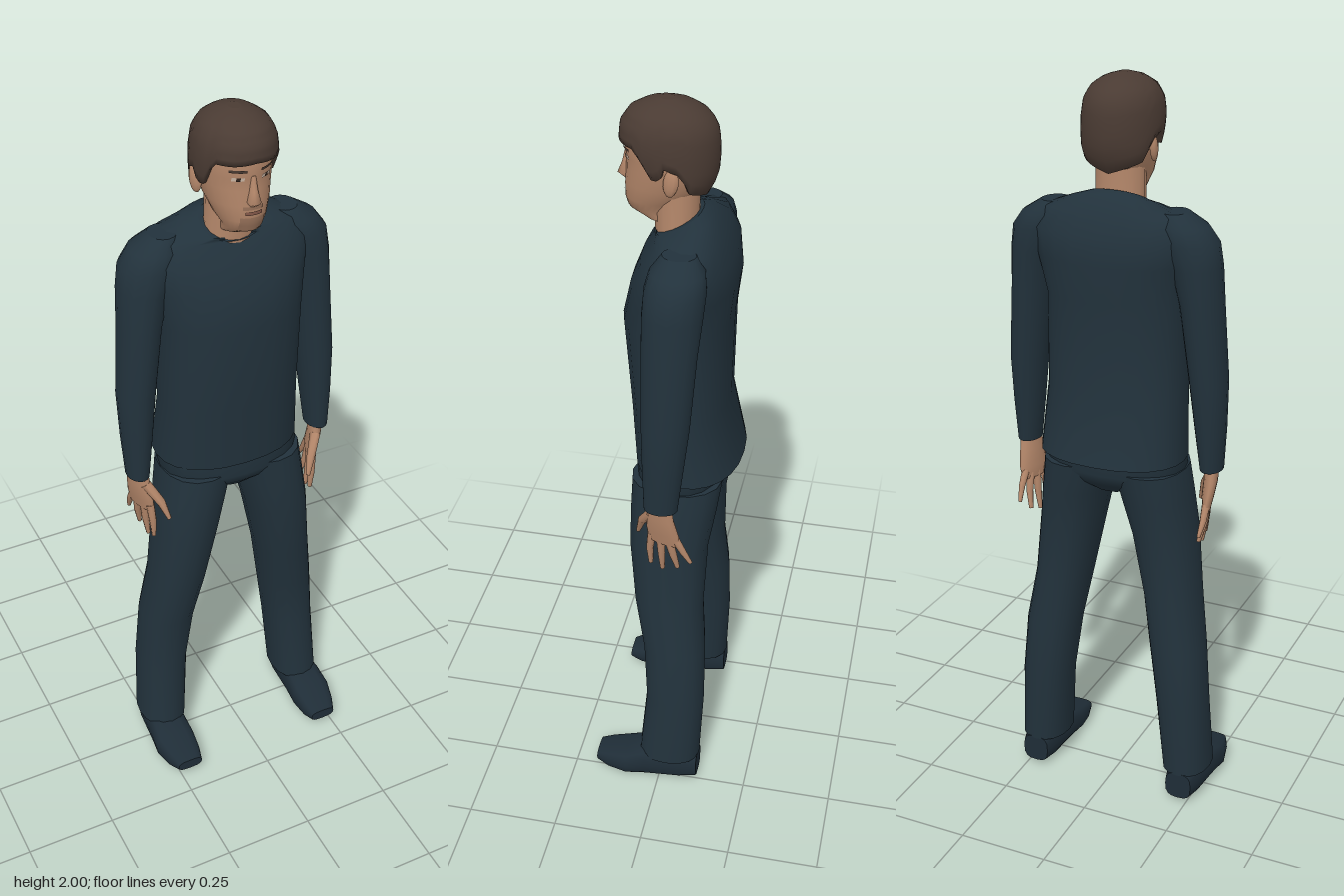
import * as THREE from 'three';

const mat = (name, color) => {
  const m = new THREE.MeshStandardMaterial({ color });
  m.name = name;
  return m;
};

// Linear lookup in rows of [key, ...values] with ascending keys
function sample(rows, k) {
  let i = 0;
  while (i < rows.length - 2 && rows[i + 1][0] < k) i++;
  const a = rows[i], b = rows[i + 1];
  const t = THREE.MathUtils.clamp((k - a[0]) / (b[0] - a[0]), 0, 1);
  return a.map((v, j) => v + (b[j] - v) * t);
}

// Closed skin over rings of points, listed from bottom to top
function skinRings(rings, capBottom = true) {
  const n = rings[0].length, pos = [], idx = [];
  rings.forEach(r => r.forEach(p => pos.push(...p)));
  for (let i = 0; i < rings.length - 1; i++)
    for (let j = 0; j < n; j++) {
      const a = i * n + j, b = i * n + (j + 1) % n;
      idx.push(a, a + n, b, b, a + n, b + n);
    }
  const cap = (ring, top) => {
    const base = pos.length / 3;
    ring.forEach(p => pos.push(...p));
    pos.push(...[0, 1, 2].map(k => ring.reduce((s, p) => s + p[k], 0) / n));
    for (let j = 0; j < n; j++) {
      const a = base + j, b = base + (j + 1) % n;
      idx.push(...(top ? [a, base + n, b] : [a, b, base + n]));
    }
  };
  if (capBottom) cap(rings[0], false);
  cap(rings[rings.length - 1], true);
  const g = new THREE.BufferGeometry();
  g.setAttribute('position', new THREE.Float32BufferAttribute(pos, 3));
  g.setIndex(idx);
  g.computeVertexNormals();
  return g;
}

// Loft over rounded sections [y, cx, cz, rx, rz, tilt]
function loft(sections, { n = 16, e = 2, shear = 0, side = 1 } = {}) {
  const pw = v => Math.sign(v) * Math.abs(v) ** (2 / e);
  return skinRings(sections.map(([y, cx, cz, rx, rz, tilt = 0]) =>
    Array.from({ length: n }, (_, j) => {
      const a = (j / n) * Math.PI * 2;
      const dz = rz * pw(Math.sin(a));
      return [side * cx + rx * pw(Math.cos(a)) - side * shear * dz, y - tilt * dz, cz + dz];
    })));
}

const HEAD = [
  [1.70, 0, 0.03, 0.045, 0.045], [1.722, 0, 0.055, 0.046, 0.062],
  [1.75, 0, 0.045, 0.062, 0.08], [1.79, 0, 0.025, 0.077, 0.1],
  [1.83, 0, 0.015, 0.084, 0.107], [1.86, 0, 0.013, 0.088, 0.109],
  [1.90, 0, 0.016, 0.09, 0.112], [1.94, 0, 0.016, 0.082, 0.1], [1.97, 0, 0.018, 0.055, 0.065],
];
const HAIR = [
  [1.76, -0.005, 0.075, 0.068], [1.79, 0, 0.09, 0.09], [1.82, 0, 0.098, 0.102],
  [1.86, 0.01, 0.103, 0.115], [1.90, 0.017, 0.103, 0.122], [1.94, 0.018, 0.097, 0.117],
  [1.97, 0.02, 0.08, 0.095], [1.99, 0.02, 0.05, 0.06], [2.0, 0.02, 0.015, 0.02],
];
// Lower edge of the hair by angle from the front
const HAIRLINE = [
  [0, 1.905], [0.5, 1.9], [1.0, 1.9], [1.15, 1.83], [1.4, 1.83], [1.55, 1.865],
  [1.85, 1.85], [2.1, 1.795], [3.15, 1.765],
];

function hairGeometry() {
  const n = 48, rows = 12, rings = [];
  for (let i = -1; i <= rows; i++)
    rings.push(Array.from({ length: n }, (_, j) => {
      const a = (j / n) * Math.PI * 2;
      const phi = Math.acos(THREE.MathUtils.clamp(Math.sin(a), -1, 1));
      const low = sample(HAIRLINE, phi)[1];
      const t = 1 - Math.max(i, 0) / rows;
      const y = 2 - (2 - low) * t ** 1.7;
      const [, cz, rx, rz] = sample(HAIR, y);
      const f = i < 0 ? 0.84 : 1;
      return [rx * f * Math.cos(a), y, cz + rz * f * Math.sin(a)];
    }));
  return skinRings(rings, false);
}

// Thin patch laid onto the face
function facePatch(x, y, w, h, lift) {
  const g = new THREE.PlaneGeometry(w, h, 8, 3), p = g.attributes.position;
  for (let i = 0; i < p.count; i++) {
    const px = p.getX(i) + x, py = p.getY(i) + y;
    const [, , cz, rx, rz] = sample(HEAD, py);
    const u = Math.min(Math.abs(px / rx), 1);
    p.setXYZ(i, px, py, cz + rz * Math.sqrt(1 - u * u) + lift);
  }
  g.computeVertexNormals();
  return g;
}

// Tapered finger running through points [x, y, z, radius]
function finger(points, side) {
  const v = points.map(p => new THREE.Vector3(p[0] * side, p[1], p[2]));
  const q = new THREE.Quaternion().setFromUnitVectors(
    new THREE.Vector3(0, 1, 0), v[0].clone().sub(v[v.length - 1]).normalize());
  return skinRings(points.map((p, i) => Array.from({ length: 7 }, (_, j) => {
    const a = (j / 7) * Math.PI * 2;
    return new THREE.Vector3(Math.cos(a) * p[3], 0, Math.sin(a) * p[3])
      .applyQuaternion(q).add(v[i]).toArray();
  })).reverse());
}

export function createModel() {
  const model = new THREE.Group();
  const cloth = mat('navy cloth', 0x22323c), shoeMat = mat('shoe navy', 0x1f2d37);
  const skin = mat('skin', 0xb4876a), hair = mat('brown hair', 0x4a3b33);
  const stubble = mat('stubble', 0x98725a), lip = mat('lips', 0x85594a);
  const white = mat('eye white', 0xcbb6a4), dark = mat('dark iris', 0x33261f);
  const add = (name, geo, m) => {
    const mesh = new THREE.Mesh(geo, m);
    mesh.name = name;
    model.add(mesh);
    return mesh;
  };

  // Sweater body and hips
  add('sweater', loft([
    [1.02, 0, -0.042, 0.2, 0.142], [1.2, 0, -0.018, 0.19, 0.127],
    [1.45, 0, -0.011, 0.19, 0.139], [1.55, 0, -0.028, 0.21, 0.133],
    [1.62, 0, -0.037, 0.225, 0.115], [1.67, 0, -0.04, 0.195, 0.085, 0.05],
    [1.695, 0, -0.025, 0.11, 0.07, 0.3], [1.695, 0, -0.006, 0.076, 0.06, 0.5],
  ], { n: 24, e: 2.3 }), cloth);
  add('hips', loft([
    [0.915, 0, -0.02, 0.06, 0.07], [0.945, 0, -0.022, 0.15, 0.1],
    [0.98, 0, -0.024, 0.197, 0.122], [1.06, 0, -0.028, 0.185, 0.118],
  ], { n: 20, e: 2.3 }), cloth);

  // Neck, head and hair
  add('neck', loft([
    [1.65, 0, -0.005, 0.07, 0.055, 0.4], [1.70, 0, -0.002, 0.066, 0.055, 0.4],
    [1.79, 0, 0.0, 0.064, 0.058],
  ]), skin);
  add('head', loft(HEAD, { n: 28 }), skin);
  add('hair', hairGeometry(), hair);
  add('nose', loft([
    [1.79, 0, 0.118, 0.011, 0.01], [1.802, 0, 0.122, 0.017, 0.024],
    [1.83, 0, 0.118, 0.011, 0.016], [1.867, 0, 0.115, 0.007, 0.01],
  ], { n: 10 }), skin);

  // Mouth and chin
  add('chinStubble', facePatch(0, 1.744, 0.064, 0.034, 0.0015), stubble);
  add('moustacheStubble', facePatch(0, 1.786, 0.052, 0.009, 0.0015), stubble);
  add('mouth', facePatch(0, 1.773, 0.044, 0.009, 0.003), lip);

  for (const s of [1, -1]) {
    const tag = s > 0 ? 'left' : 'right';
    const opt = { side: s };

    // Eyes, brows and ears
    add(tag + 'Eye', facePatch(s * 0.036, 1.861, 0.027, 0.009, 0.002), white);
    add(tag + 'Iris', facePatch(s * 0.036, 1.861, 0.009, 0.009, 0.003), dark);
    add(tag + 'Brow', facePatch(s * 0.037, 1.882, 0.038, 0.007, 0.003), hair);
    const ear = add(tag + 'Ear', new THREE.SphereGeometry(1, 10, 8), skin);
    ear.scale.set(0.011, 0.036, 0.02);
    ear.position.set(s * 0.09, 1.825, -0.004);
    ear.rotation.set(-0.15, s * -0.3, 0);

    // Sleeve
    add(tag + 'Sleeve', loft([
      [1.0, 0.267, -0.013, 0.03, 0.044], [1.12, 0.263, -0.018, 0.041, 0.053],
      [1.25, 0.257, -0.024, 0.05, 0.062], [1.45, 0.237, -0.03, 0.056, 0.07],
      [1.55, 0.222, -0.035, 0.066, 0.075], [1.61, 0.202, -0.038, 0.078, 0.076],
      [1.65, 0.185, -0.04, 0.066, 0.068], [1.682, 0.165, -0.04, 0.035, 0.042],
    ], opt), cloth);

    // Hand
    add(tag + 'Palm', loft([
      [0.885, 0.257, -0.018, 0.011, 0.042], [0.92, 0.259, -0.017, 0.017, 0.046],
      [0.97, 0.265, -0.012, 0.02, 0.038], [1.03, 0.267, -0.013, 0.02, 0.028],
    ], { side: s, shear: 0.3 }), skin);
    const fingers = {
      Thumb: [[0.256, 0.975, 0.012, 0.015], [0.226, 0.925, 0.045, 0.012], [0.21, 0.875, 0.06, 0.006]],
      IndexFinger: [[0.246, 0.905, 0.015, 0.012], [0.242, 0.85, 0.022, 0.01], [0.24, 0.798, 0.02, 0.006]],
      MiddleFinger: [[0.254, 0.9, -0.009, 0.012], [0.25, 0.84, -0.011, 0.01], [0.243, 0.785, -0.012, 0.006]],
      RingFinger: [[0.261, 0.9, -0.032, 0.012], [0.259, 0.85, -0.044, 0.01], [0.25, 0.8, -0.054, 0.006]],
      LittleFinger: [[0.267, 0.91, -0.05, 0.011], [0.268, 0.87, -0.072, 0.009], [0.264, 0.832, -0.092, 0.005]],
    };
    for (const [name, pts] of Object.entries(fingers)) add(tag + name, finger(pts, s), skin);

    // Trouser leg
    add(tag + 'TrouserLeg', loft([
      [0.085, 0.222, -0.026, 0.067, 0.087], [0.3, 0.208, -0.04, 0.071, 0.082],
      [0.47, 0.189, -0.034, 0.076, 0.086], [0.62, 0.164, -0.014, 0.077, 0.095],
      [0.8, 0.137, -0.008, 0.087, 0.107], [0.9, 0.118, -0.016, 0.093, 0.116],
      [0.99, 0.1, -0.023, 0.098, 0.121],
    ], { side: s, e: 2.2 }), cloth);

    // Shoe, lofted from heel to toe
    const shoe = loft([
      [-0.11, 0.225, -0.05, 0.038, 0.04], [-0.06, 0.226, -0.057, 0.05, 0.052],
      [0.04, 0.228, -0.053, 0.056, 0.05], [0.095, 0.229, -0.04, 0.06, 0.04],
      [0.15, 0.225, -0.034, 0.05, 0.03], [0.186, 0.222, -0.034, 0.037, 0.016],
    ], { side: s, e: 3 });
    shoe.rotateX(Math.PI / 2);
    add(tag + 'Shoe', shoe, shoeMat);
  }
  return model;
}
